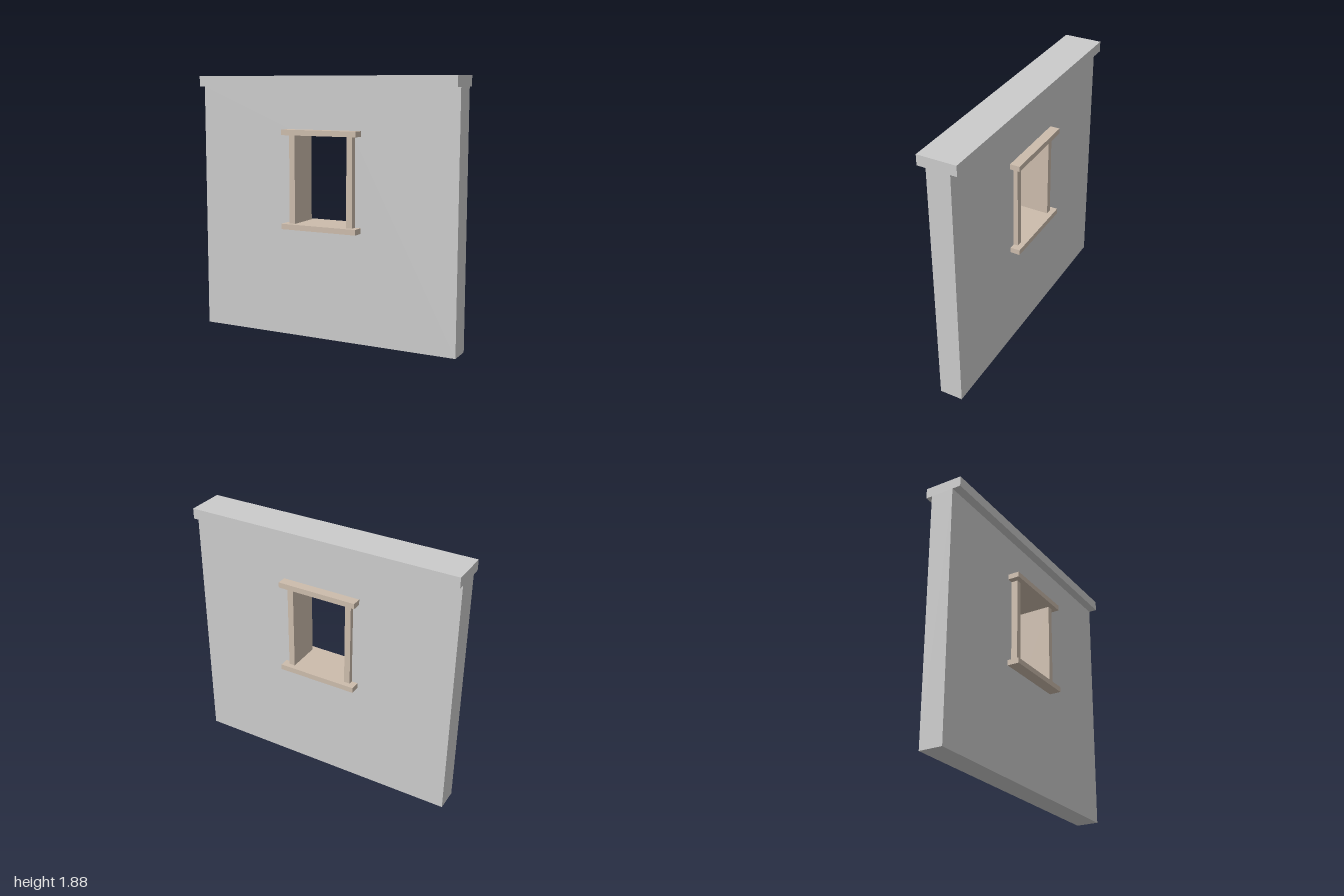
import * as THREE from 'three';

const grey = new THREE.MeshStandardMaterial({ color: 0xcccccc });
const wood = new THREE.MeshStandardMaterial({ color: 0xccbcac });

// Box given by its limits on each axis
function block(name, [x0, x1], [y0, y1], [z0, z1], material) {
  const mesh = new THREE.Mesh(new THREE.BoxGeometry(x1 - x0, y1 - y0, z1 - z0), material);
  mesh.position.set((x0 + x1) / 2, (y0 + y1) / 2, (z0 + z1) / 2);
  mesh.name = name;
  return mesh;
}

function rectangle(path, x, y0, y1) {
  path.moveTo(-x, y0).lineTo(x, y0).lineTo(x, y1).lineTo(-x, y1).closePath();
  return path;
}

export function createModel() {
  const model = new THREE.Group();
  model.name = 'wallWithWindow';

  // Wall slab with the window opening cut through
  const outline = rectangle(new THREE.Shape(), 1, 0, 1.803);
  outline.holes.push(rectangle(new THREE.Path(), 0.225, 0.813, 1.485));
  const wall = new THREE.Mesh(
    new THREE.ExtrudeGeometry(outline, { depth: 0.168, bevelEnabled: false }), grey);
  wall.position.z = -0.092;
  wall.name = 'wall';
  model.add(wall);

  // Coping along the top
  model.add(block('coping', [-1, 1], [1.803, 1.878], [-0.138, 0.138], grey));

  // Window frame: sill and lintel overhang the two jambs
  const frame = new THREE.Group();
  frame.name = 'windowFrame';
  const across = [-0.293, 0.293], deep = [-0.162, 0.162];
  frame.add(block('sill', across, [0.793, 0.832], deep, wood));
  frame.add(block('lintel', across, [1.464, 1.503], deep, wood));
  frame.add(block('leftJamb', [0.204, 0.248], [0.832, 1.464], [-0.124, 0.124], wood));
  frame.add(block('rightJamb', [-0.248, -0.204], [0.832, 1.464], [-0.124, 0.124], wood));
  model.add(frame);

  return model;
}
